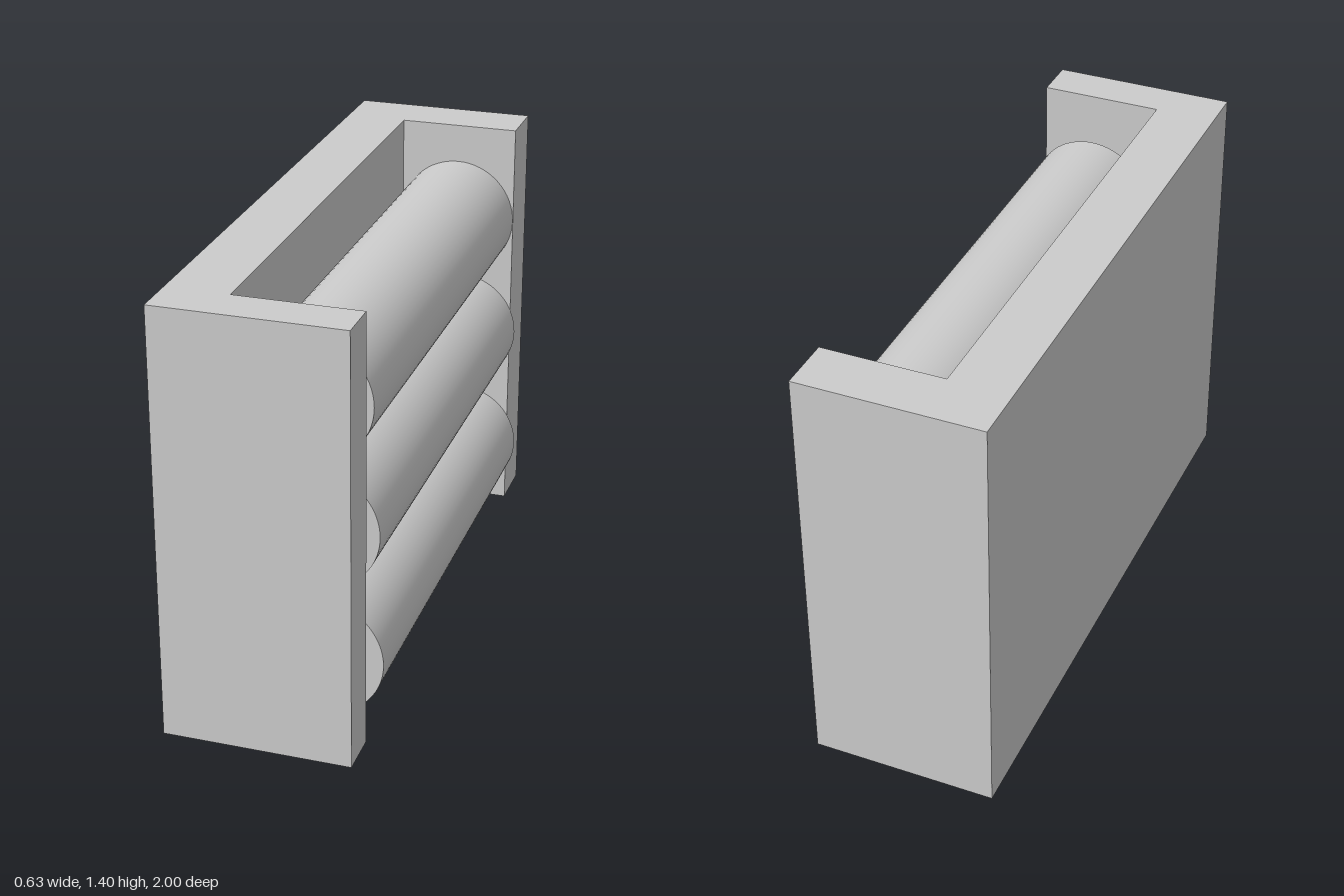
import * as THREE from 'three';

const material = new THREE.MeshStandardMaterial({ color: 0xcccccc });

// Cylinder lying along z, from z0 to z1
function rod(name, radius, z0, z1) {
  const geometry = new THREE.CylinderGeometry(radius, radius, z1 - z0, 64);
  geometry.rotateX(Math.PI / 2);
  geometry.translate(0, 0, (z0 + z1) / 2);
  const mesh = new THREE.Mesh(geometry, material);
  mesh.name = name;
  return mesh;
}

// One cell, with a small stud on one end and a wide flat contact on the other
function cell(x, y, studForward) {
  const group = new THREE.Group();
  group.name = 'batteryCell';
  const body = rod('cellBody', 0.198, -0.82, 0.78);
  const stud = studForward
    ? rod('studContact', 0.05, 0.78, 0.808)
    : rod('studContact', 0.05, -0.848, -0.82);
  const flat = studForward
    ? rod('flatContact', 0.135, -0.84, -0.82)
    : rod('flatContact', 0.135, 0.78, 0.8);
  group.add(body, stud, flat);
  group.position.set(x, y, 0);
  return group;
}

export function createModel() {
  const model = new THREE.Group();
  model.name = 'batteryHolder';

  // C-shaped holder: outline in (x, -z), extruded upward
  const outline = [
    [-0.315, -1], [0.282, -1], [0.282, -0.857], [-0.115, -0.857],
    [-0.115, 0.82], [0.282, 0.82], [0.282, 1], [-0.315, 1],
  ].map(([x, y]) => new THREE.Vector2(x, y));
  const geometry = new THREE.ExtrudeGeometry(new THREE.Shape(outline), { depth: 1.4, bevelEnabled: false });
  geometry.rotateX(-Math.PI / 2);
  const holder = new THREE.Mesh(geometry, material);
  holder.name = 'holder';
  model.add(holder);

  // Three cells, the middle one reversed
  model.add(cell(0.114, 0.225, false), cell(0.102, 0.658, true), cell(0.083, 1.073, false));
  return model;
}
